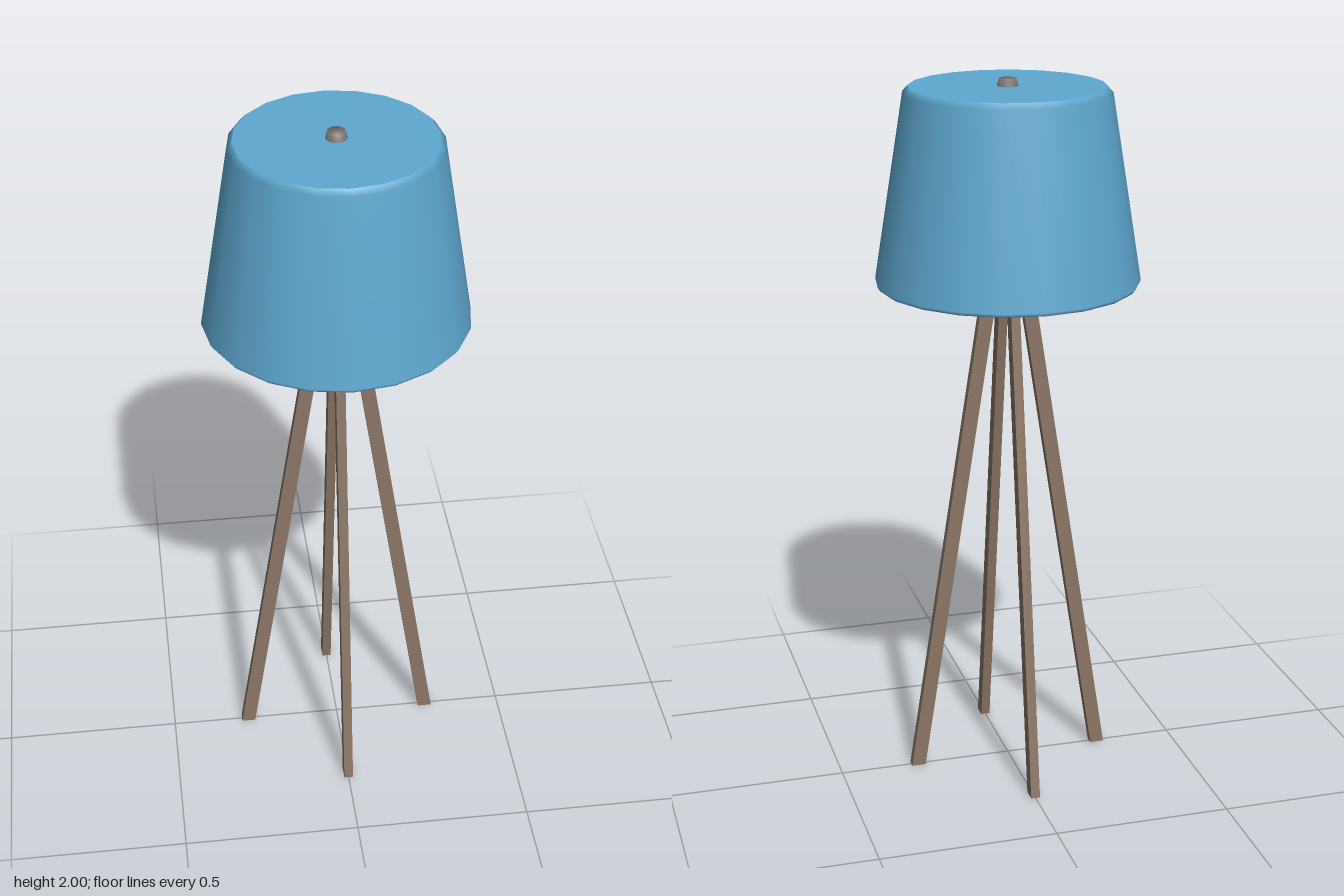
import * as THREE from 'three';

const SIDES = 20;

export function createModel() {
  const model = new THREE.Group();
  model.name = 'floorLamp';

  const blue = new THREE.MeshStandardMaterial({ color: 0x5fa8d0 });
  blue.name = 'shade blue';
  const wood = new THREE.MeshStandardMaterial({ color: 0x8a7666 });
  wood.name = 'brown wood';
  const grey = new THREE.MeshStandardMaterial({ color: 0x78726d });
  grey.name = 'finial grey';

  const add = (name, geometry, material, parent = model) => {
    const mesh = new THREE.Mesh(geometry, material);
    mesh.name = name;
    parent.add(mesh);
    return mesh;
  };

  // Shade: smooth tapered wall with small bevels, closed by flat discs
  const shade = new THREE.Group();
  shade.name = 'shade';
  model.add(shade);
  const profile = [[0.358, 1.44], [0.365, 1.45], [0.282, 1.965], [0.268, 1.98]]
    .map(([r, y]) => new THREE.Vector2(r, y));
  add('shadeWall', new THREE.LatheGeometry(profile, SIDES), blue, shade);
  const top = add('shadeTop', new THREE.CircleGeometry(0.268, SIDES).rotateX(-Math.PI / 2), blue, shade);
  top.position.y = 1.98;
  const bottom = add('shadeBottom', new THREE.CircleGeometry(0.358, SIDES).rotateX(Math.PI / 2), blue, shade);
  bottom.position.y = 1.44;

  // Finial: small tapered knob on the top disc
  const finialProfile = [[0.03, 1.975], [0.024, 2], [0, 2]].map(([r, y]) => new THREE.Vector2(r, y));
  add('finial', new THREE.LatheGeometry(finialProfile, SIDES), grey);

  // Hub joining the legs under the shade
  const hub = add('hub', new THREE.CylinderGeometry(0.04, 0.04, 0.1, 12), wood);
  hub.position.y = 1.43;

  // Legs: bars sheared inward so that the feet sit flat on the floor
  const height = 1.46;
  const legGeometry = new THREE.BoxGeometry(0.04, height, 0.026).translate(0, height / 2, 0);
  const p = legGeometry.attributes.position;
  for (let i = 0; i < p.count; i++) {
    p.setX(i, p.getX(i) + 0.274 - 0.156 * p.getY(i));
  }
  legGeometry.computeVertexNormals();
  ['leftLeg', 'backLeg', 'rightLeg', 'frontLeg'].forEach((name, i) => {
    add(name, legGeometry, wood).rotation.y = i * Math.PI / 2;
  });

  return model;
}
